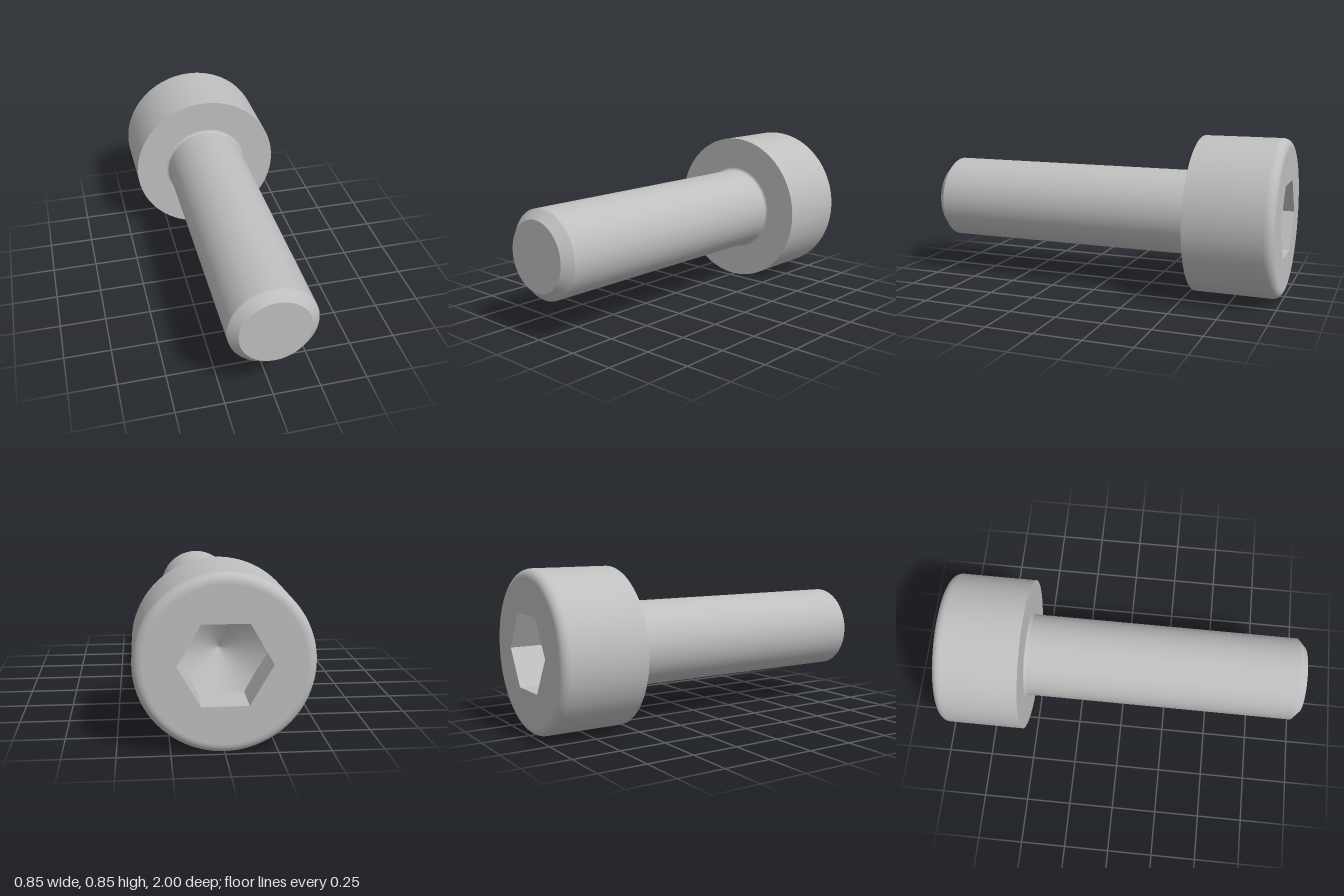
import * as THREE from 'three';
import { toCreasedNormals } from 'three/addons/utils/BufferGeometryUtils.js';

const HEAD_R = 0.423, SHANK_R = 0.23, TIP_R = 0.183;
const BACK = -1, SEAT = -0.54, CHAMFER = 0.954, FRONT = 1;
const ROUND = 0.046, FILLET = 0.015;
const HEX_R = 0.222, HEX_DEPTH = 0.2, CONE_SLOPE = Math.tan(Math.PI / 6);

export function createModel() {
  const steel = new THREE.MeshStandardMaterial({ color: 0xbfbfbf });
  steel.name = 'steel grey';
  const model = new THREE.Group();
  model.name = 'socketHeadScrew';
  const body = new THREE.Group();
  body.name = 'screw';
  body.position.y = HEAD_R;
  model.add(body);

  const add = (name, geometry) => {
    const mesh = new THREE.Mesh(geometry, steel);
    mesh.name = name;
    body.add(mesh);
  };
  // Profile of [radius, z] turned around the z axis
  const turned = (name, profile) => add(name, new THREE.LatheGeometry(
    profile.map(([r, z]) => new THREE.Vector2(r, z)), 96).rotateX(Math.PI / 2));
  // Quarter round of [radius, z] between two angles
  const arc = (r, z, radius, from, to, n = 8) => Array.from({ length: n + 1 }, (_, i) => {
    const a = from + (to - from) * i / n;
    return [r + radius * Math.cos(a), z + radius * Math.sin(a)];
  });

  // Head: rounded rear rim, straight side, flat seat
  turned('headRim', arc(HEAD_R - ROUND, BACK + ROUND, ROUND, -Math.PI / 2, 0));
  turned('headSide', [[HEAD_R, BACK + ROUND], [HEAD_R, SEAT]]);
  turned('headSeat', [[HEAD_R, SEAT], [SHANK_R + FILLET, SEAT]]);

  // Shank: small fillet under the head, cylinder, chamfer, flat tip
  turned('shankFillet', arc(SHANK_R + FILLET, SEAT + FILLET, FILLET, -Math.PI / 2, -Math.PI, 5));
  turned('shank', [[SHANK_R, SEAT + FILLET], [SHANK_R, CHAMFER]]);
  turned('tipChamfer', [[SHANK_R, CHAMFER], [TIP_R, FRONT]]);
  turned('tip', [[TIP_R, FRONT], [0, FRONT]]);

  // Rear face with the hexagonal opening
  const corners = Array.from({ length: 6 }, (_, i) => new THREE.Vector2(
    HEX_R * Math.cos(i * Math.PI / 3), HEX_R * Math.sin(i * Math.PI / 3)));
  const face = new THREE.Shape().absarc(0, 0, HEAD_R - ROUND, 0, Math.PI * 2);
  face.holes.push(new THREE.Path(corners.slice().reverse()));
  add('headFace', new THREE.ShapeGeometry(face, 48).rotateY(Math.PI).translate(0, 0, BACK));

  // Hexagonal socket: six walls running down to a conical floor
  const walls = [], floor = [], steps = 10;
  const floorZ = r => BACK + HEX_DEPTH + (HEX_R - r) * CONE_SLOPE;
  for (let side = 0; side < 6; side++) {
    for (let i = 0; i < steps; i++) {
      const [a, b] = [i, i + 1].map(k =>
        corners[side].clone().lerp(corners[(side + 1) % 6], k / steps));
      const a0 = [a.x, a.y, BACK], b0 = [b.x, b.y, BACK];
      const a1 = [a.x, a.y, floorZ(a.length())], b1 = [b.x, b.y, floorZ(b.length())];
      walls.push(...a0, ...a1, ...b0, ...b0, ...a1, ...b1);
      floor.push(...a1, 0, 0, floorZ(0), ...b1);
    }
  }
  const surface = points => {
    const g = new THREE.BufferGeometry();
    g.setAttribute('position', new THREE.Float32BufferAttribute(points, 3));
    return toCreasedNormals(g, 0.5);
  };
  add('socketWalls', surface(walls));
  add('socketFloor', surface(floor));

  return model;
}
